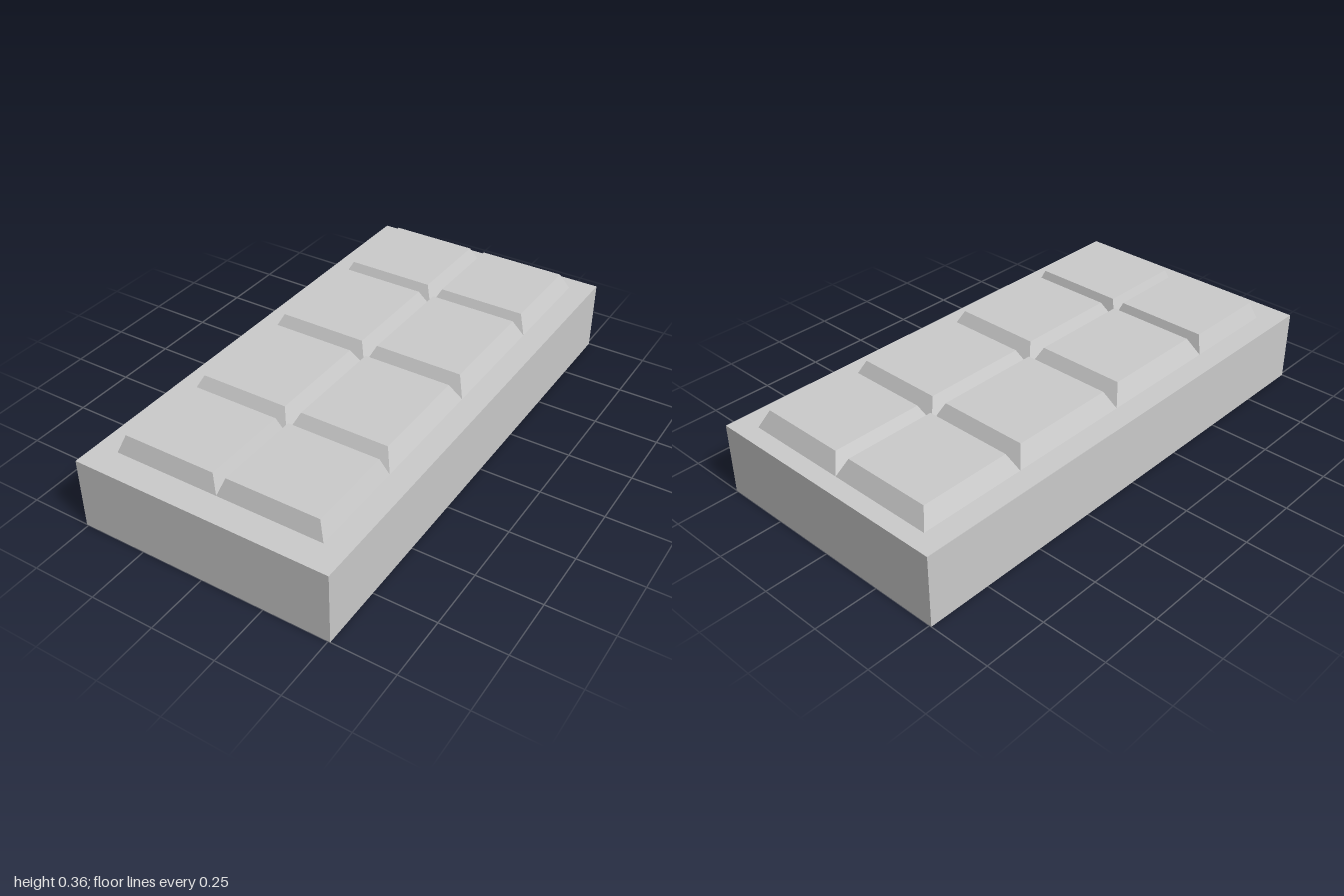
import * as THREE from 'three';

const BASE_TOP = 0.283;
const material = new THREE.MeshStandardMaterial({ color: 0xcccccc, flatShading: true });

// Box whose upper face is drawn in to make bevelled sides
function bevelledBlock(x0, x1, z0, z1, height, insetX, insetZ) {
  const w = x1 - x0, d = z1 - z0;
  const geometry = new THREE.BoxGeometry(w, height, d);
  const p = geometry.attributes.position;
  for (let i = 0; i < p.count; i++) {
    if (p.getY(i) < 0) continue;
    p.setX(i, Math.sign(p.getX(i)) * (w / 2 - insetX));
    p.setZ(i, Math.sign(p.getZ(i)) * (d / 2 - insetZ));
  }
  geometry.computeVertexNormals();
  const mesh = new THREE.Mesh(geometry, material);
  mesh.position.set((x0 + x1) / 2, BASE_TOP + height / 2, (z0 + z1) / 2);
  return mesh;
}

export function createModel() {
  const model = new THREE.Group();
  model.name = 'segmentedBar';

  // Solid slab
  const slab = new THREE.Mesh(new THREE.BoxGeometry(1.016, BASE_TOP, 2), material);
  slab.name = 'slab';
  slab.position.y = BASE_TOP / 2;
  model.add(slab);

  // Two columns by four rows of raised segments, from back to front
  const columns = [
    { side: 'right', x0: -0.42, x1: 0 },
    { side: 'left', x0: 0, x1: 0.416 },
  ];
  const rows = [
    { z0: -0.93, z1: -0.5, height: 0.069, insetX: 0.033, insetZ: 0.034 },
    { z0: -0.5, z1: 0, height: 0.073, insetX: 0.033, insetZ: 0.038 },
    { z0: 0, z1: 0.5, height: 0.075, insetX: 0.034, insetZ: 0.043 },
    { z0: 0.5, z1: 0.89, height: 0.069, insetX: 0.026, insetZ: 0.023 },
  ];
  rows.forEach((r, i) => {
    for (const c of columns) {
      const segment = bevelledBlock(c.x0, c.x1, r.z0, r.z1, r.height, r.insetX, r.insetZ);
      segment.name = `${c.side}Segment${i + 1}`;
      model.add(segment);
    }
  });

  return model;
}
